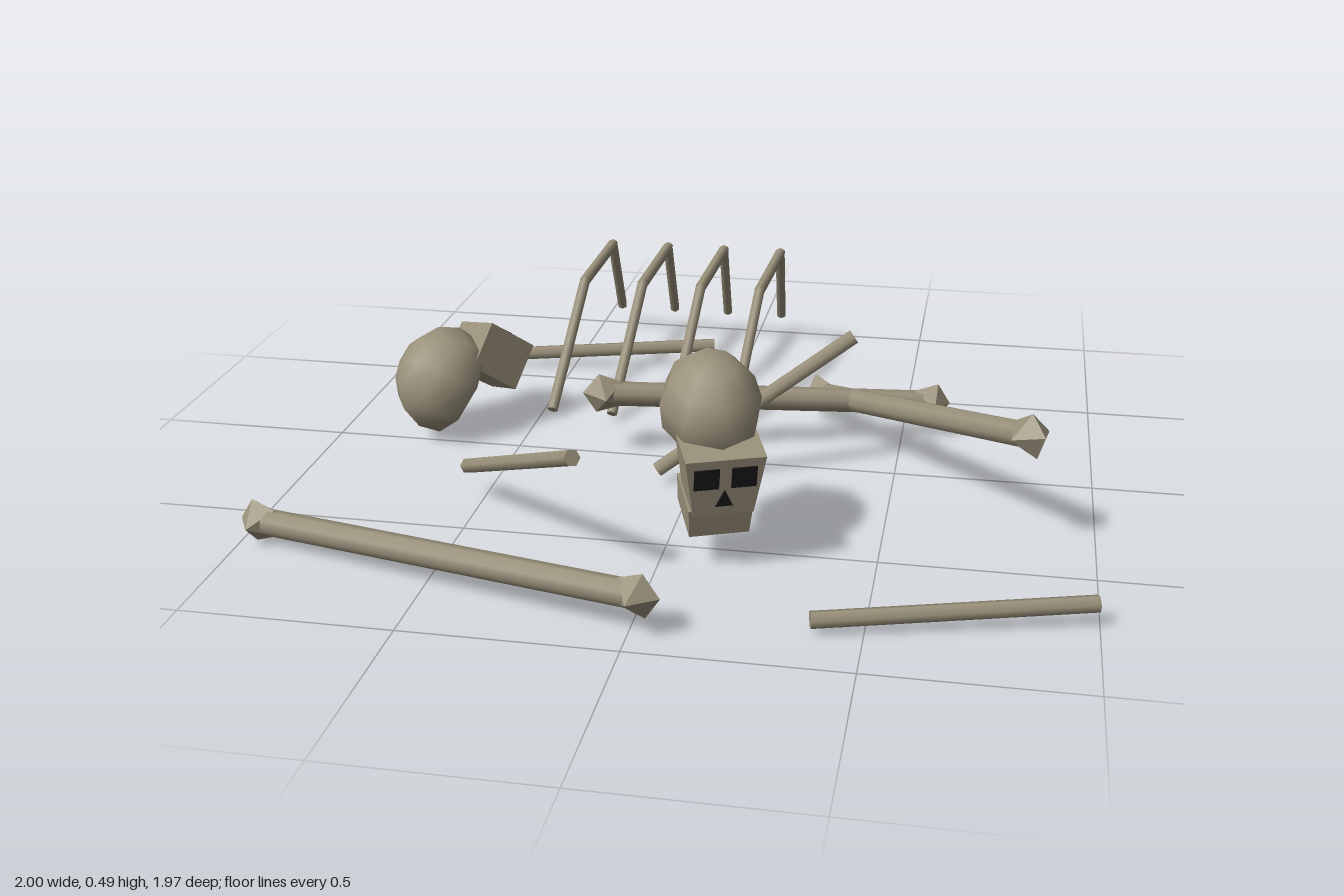
import * as THREE from 'three';

const bone = new THREE.MeshStandardMaterial({ color: 0x9a917b });
bone.name = 'bone';
const socket = new THREE.MeshStandardMaterial({ color: 0x1a1a1a });
socket.name = 'socket';

const V = (p) => new THREE.Vector3(...p);

function add(parent, name, geometry, material = bone) {
  const mesh = new THREE.Mesh(geometry, material);
  mesh.name = name;
  parent.add(mesh);
  return mesh;
}

// Straight rod between two points
function rod(parent, name, a, b, radius, sides, extra = 0) {
  const dir = b.clone().sub(a);
  const mesh = add(parent, name, new THREE.CylinderGeometry(radius, radius, dir.length() + extra, sides));
  mesh.position.copy(a).add(b).multiplyScalar(0.5);
  mesh.quaternion.setFromUnitVectors(new THREE.Vector3(0, 1, 0), dir.normalize());
  return mesh;
}

// Long bone: thick shaft with a faceted five-sided knob at each end
function longBone(parent, p, q) {
  const group = new THREE.Group();
  group.name = 'longBone';
  const a = V(p), b = V(q);
  rod(group, 'shaft', a, b, 0.032, 8);
  const knobGeometry = new THREE.SphereGeometry(0.056, 5, 2).toNonIndexed();
  knobGeometry.computeVertexNormals();
  for (const [end, other] of [[a, b], [b, a]]) {
    const knob = add(group, 'knob', knobGeometry);
    const out = end.clone().sub(other).normalize();
    const axis = new THREE.Vector3(0, 1, 0).cross(out).normalize();
    // one knob corner points outward, its poles lie level across the bone
    const basis = new THREE.Matrix4().makeBasis(out.clone().negate(), axis, out.clone().negate().cross(axis));
    knob.quaternion.setFromRotationMatrix(basis);
    knob.position.copy(end);
  }
  parent.add(group);
}

// Box whose lower edge is narrower than its upper edge
function taperedBox(w, h, d, bottomScale) {
  const g = new THREE.BoxGeometry(w, h, d);
  const p = g.attributes.position;
  for (let i = 0; i < p.count; i++) if (p.getY(i) < 0) p.setX(i, p.getX(i) * bottomScale);
  g.computeVertexNormals();
  return g;
}

function skull(name, hasJaw) {
  const group = new THREE.Group();
  group.name = name;

  // Domed cranium with a flat underside
  const cut = 0.62 * Math.PI;
  const cranium = new THREE.Group();
  cranium.name = 'cranium';
  cranium.position.set(0, 0.1, -0.113);
  cranium.scale.set(0.12, 0.13, 0.145);
  add(cranium, 'dome', new THREE.SphereGeometry(1, 8, 4, 0, Math.PI * 2, 0, cut));
  const base = add(cranium, 'craniumBase', new THREE.CircleGeometry(Math.sin(cut), 8));
  base.rotation.x = Math.PI / 2;
  base.position.y = Math.cos(cut);
  group.add(cranium);

  // Face block, sockets and nose
  add(group, 'face', taperedBox(0.185, 0.15, 0.13, 0.76));
  for (const s of [-1, 1]) {
    const eye = add(group, 'eyeSocket', new THREE.BoxGeometry(0.058, 0.054, 0.006), socket);
    eye.position.set(s * 0.043, 0.026, 0.065);
  }
  const triangle = new THREE.Shape([
    new THREE.Vector2(-0.02, -0.05), new THREE.Vector2(0.02, -0.05), new THREE.Vector2(0, -0.006),
  ]);
  const nose = add(group, 'noseHole', new THREE.ExtrudeGeometry(triangle, { depth: 0.006, bevelEnabled: false }), socket);
  nose.position.z = 0.062;

  if (hasJaw) {
    const jaw = add(group, 'jaw', taperedBox(0.15, 0.075, 0.14, 0.94));
    jaw.position.set(0, -0.113, -0.03);
    jaw.rotation.x = 0.05;
  }
  return group;
}

export function createModel() {
  const model = new THREE.Group();
  model.name = 'bonePile';

  // Upright skull, turned and nodding forward
  const upright = skull('uprightSkull', true);
  upright.rotation.set(0.21, 0.385, 0, 'YXZ');
  upright.position.set(0.14, 0.25, 0.585);
  model.add(upright);

  // Fallen skull, lying back with its face upward
  const fallen = skull('fallenSkull', false);
  const up = V([-0.68, 0.56, 0.47]).normalize();
  const side = up.clone().cross(V([0.26, 0.78, -0.56])).normalize();
  fallen.quaternion.setFromRotationMatrix(
    new THREE.Matrix4().makeBasis(side, up, side.clone().cross(up)));
  fallen.position.set(-0.623, 0.195, -0.166);
  model.add(fallen);

  // Long bones
  longBone(model, [-0.95, 0.06, 0.65], [0.02, 0.1, 0.92]);
  longBone(model, [-0.265, 0.175, 0.0], [0.57, 0.1, -0.27]);
  longBone(model, [0.27, 0.08, -0.33], [0.83, 0.29, 0.355]);

  // Thin splinters
  const splinters = [
    [[-0.85, 0.04, -0.53], [-0.09, 0.07, -0.68]],
    [[-0.09, 0.045, 0.168], [0.385, 0.38, 0.012]],
    [[-0.54, 0.09, 0.325], [-0.155, 0.335, 0.76]],
    [[0.385, 0.04, 0.855], [0.995, 0.058, 0.705]],
  ];
  for (const [a, b] of splinters) rod(model, 'splinter', V(a), V(b), 0.02, 6);

  // Row of bent ribs
  const path = [[-0.465, 0.03, -0.215], [-0.44, 0.305, -0.515], [-0.418, 0.335, -0.78], [-0.438, 0.075, -0.98]];
  for (let i = 0; i < 4; i++) {
    const rib = new THREE.Group();
    rib.name = 'rib';
    rib.position.x = i * 0.169;
    for (let k = 0; k < 3; k++) rod(rib, 'ribSegment', V(path[k]), V(path[k + 1]), 0.015, 6, 0.01);
    model.add(rib);
  }
  return model;
}
